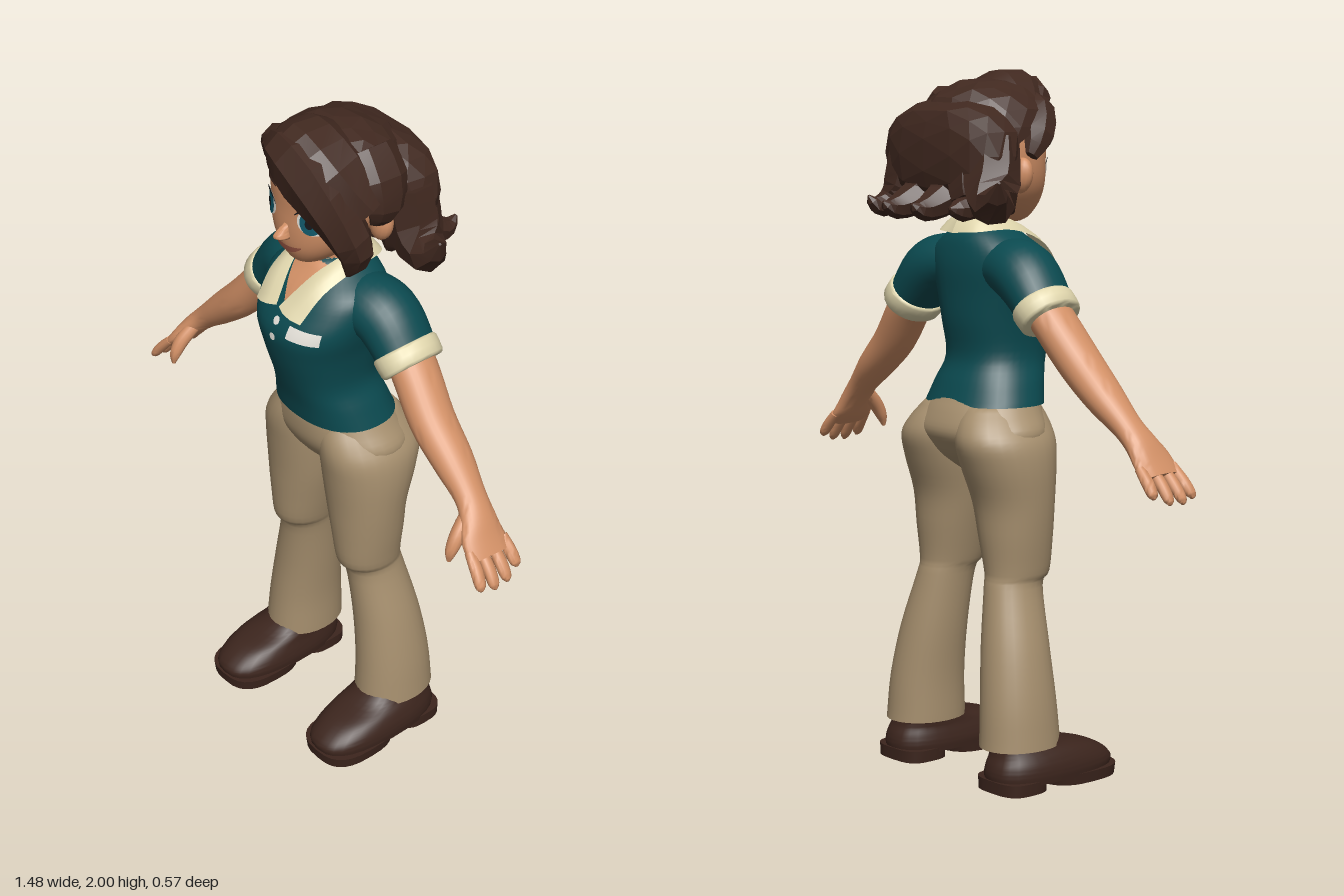
import * as THREE from 'three';
import { toCreasedNormals } from 'three/addons/utils/BufferGeometryUtils.js';

const V3 = (x, y, z) => new THREE.Vector3(x, y, z);
const material = (name, color, side = THREE.FrontSide) => {
  const m = new THREE.MeshStandardMaterial({ color, side });
  m.name = name;
  return m;
};
const UP = V3(0, 1, 0), Z = V3(0, 0, 1), X = V3(1, 0, 0);

export function createModel() {
  const group = new THREE.Group();
  const skin = material('skin', 0xd29066);
  const teal = material('shirt teal', 0x0b4a50);
  const khaki = material('trouser khaki', 0xa68f6e);
  const hair = material('hair brown', 0x412920);
  const leather = material('shoe brown', 0x3c251d);
  const cream = material('trim cream', 0xdfd5ac, THREE.DoubleSide);
  const white = material('white', 0xeae6de);
  const iris = material('iris blue', 0x125c6e);
  const lip = material('lip', 0x9c5845);
  const dark = material('pupil dark', 0x17191c);

  const add = (name, geo, mat) => {
    const mesh = new THREE.Mesh(geo, mat);
    mesh.name = name;
    group.add(mesh);
    return mesh;
  };

  // Lofts superellipse rings along sections [x, y, z, ru, rv]; rv lies along ref
  function sweep(name, mat, sections, { n = 28, steps = 4, p = 2, axis = null, ref = Z, crease = 1 } = {}) {
    const path = new THREE.CatmullRomCurve3(sections.map(s => V3(s[0], s[1], s[2])), false, 'catmullrom');
    const radii = new THREE.CatmullRomCurve3(sections.map(s => V3(s[3], s[4], 0)), false, 'catmullrom');
    const count = (sections.length - 1) * steps, pos = [], idx = [];
    const pw = v => Math.sign(v) * Math.abs(v) ** (2 / p);
    for (let k = 0; k <= count; k++) {
      const t = k / count, c = path.getPoint(t), r = radii.getPoint(t);
      const T = axis || path.getTangent(t);
      const v = ref.clone().addScaledVector(T, -ref.dot(T)).normalize();
      const u = V3().crossVectors(T, v);
      for (let i = 0; i < n; i++) {
        const a = i / n * Math.PI * 2;
        const q = c.clone().addScaledVector(u, pw(Math.cos(a)) * r.x).addScaledVector(v, pw(Math.sin(a)) * r.y);
        pos.push(q.x, q.y, q.z);
      }
    }
    for (let k = 0; k < count; k++) for (let i = 0; i < n; i++) {
      const j = (i + 1) % n, a = k * n + i, b = k * n + j;
      idx.push(a, a + n, b, b, a + n, b + n);
    }
    const first = sections[0], last = sections[sections.length - 1], c0 = pos.length / 3;
    pos.push(...first.slice(0, 3), ...last.slice(0, 3));
    for (let i = 0; i < n; i++) {
      const j = (i + 1) % n;
      idx.push(c0, i, j, c0 + 1, count * n + j, count * n + i);
    }
    const g = new THREE.BufferGeometry();
    g.setAttribute('position', new THREE.Float32BufferAttribute(pos, 3));
    g.setIndex(idx);
    return add(name, toCreasedNormals(g, crease), mat);
  }

  // Lays a flat geometry onto the front of the target meshes
  const caster = new THREE.Raycaster();
  function decal(name, mat, geo, targets, cx, cy, lift = 0.004) {
    const a = geo.attributes.position;
    for (let i = 0; i < a.count; i++) {
      const x = a.getX(i) + cx, y = a.getY(i) + cy;
      caster.set(V3(x, y, 2), V3(0, 0, -1));
      const hit = caster.intersectObjects(targets)[0];
      a.setXYZ(i, x, y, (hit ? hit.point.z : 0.06) + lift);
    }
    geo.computeVertexNormals();
    return add(name, geo, mat);
  }
  const oval = (rx, ry) => new THREE.RingGeometry(0, 1, 24, 3).scale(rx, ry, 1);
  // Curved tapered strip, for brows, lashes and mouth
  function strip(w, h, bend, tilt = 0) {
    const g = new THREE.PlaneGeometry(w, h, 12, 2), a = g.attributes.position;
    for (let i = 0; i < a.count; i++) {
      const f = 2 * a.getX(i) / w;
      a.setY(i, a.getY(i) * (1 - 0.8 * f * f) + bend * f * f + tilt * f);
    }
    return g;
  }

  // Shirt body
  const torso = sweep('shirt', teal, [
    [0, 1.07, 0.02, 0.184, 0.14], [0, 1.13, 0.038, 0.163, 0.135], [0, 1.2, 0.062, 0.138, 0.133],
    [0, 1.3, 0.07, 0.15, 0.155], [0, 1.38, 0.073, 0.172, 0.163], [0, 1.45, 0.052, 0.185, 0.146],
    [0, 1.5, 0.036, 0.175, 0.125], [0, 1.54, 0.022, 0.12, 0.1], [0, 1.57, 0.02, 0.068, 0.075]],
  { axis: UP, p: 2.3, n: 40 });
  const neck = sweep('neck', skin, [[0, 1.48, 0.025, 0.062, 0.065], [0, 1.57, 0.03, 0.058, 0.06], [0, 1.68, 0.04, 0.062, 0.065]], { axis: UP });

  // Open neckline, buttons and blank badge
  const vee = new THREE.PlaneGeometry(1, 0.115, 10, 10), va = vee.attributes.position;
  for (let i = 0; i < va.count; i++) va.setX(i, va.getX(i) * 0.11 * Math.min(1, (va.getY(i) + 0.0575) / 0.09));
  decal('neckOpening', skin, vee, [torso, neck], 0, 1.513, 0.005);
  for (const y of [1.415, 1.37]) decal('button', white, oval(0.011, 0.011), [torso], 0, y, 0.006);
  decal('badge', white, new THREE.PlaneGeometry(0.088, 0.036, 6, 2).rotateZ(-0.06), [torso], 0.093, 1.4, 0.007);

  // Collar halves
  for (const s of [-1, 1]) {
    const curve = pts => new THREE.CatmullRomCurve3(pts.map(q => V3(q[0] * s, q[1], q[2])));
    const inner = curve([[0, 1.605, -0.055], [0.055, 1.6, -0.025], [0.072, 1.59, 0.04], [0.045, 1.545, 0.13], [0.005, 1.46, 0.222]]);
    const outer = curve([[0, 1.55, -0.1], [0.08, 1.555, -0.078], [0.112, 1.558, 0.03], [0.106, 1.515, 0.15], [0.092, 1.442, 0.22]]);
    const g = new THREE.PlaneGeometry(1, 1, 20, 3), a = g.attributes.position;
    for (let i = 0; i < a.count; i++) {
      const t = a.getX(i) + 0.5, w = a.getY(i) + 0.5;
      const q = inner.getPoint(t).lerp(outer.getPoint(t), w);
      a.setXYZ(i, q.x, q.y + 0.012 * (1 - t) * Math.sin(w * Math.PI), q.z + 0.012 * t * Math.sin(w * Math.PI));
    }
    g.computeVertexNormals();
    add('collar', g, cream);
  }

  // Trousers: hips join the two legs
  sweep('hips', khaki, [
    [0, 0.87, 0, 0.05, 0.04], [0, 0.92, 0, 0.14, 0.105], [0, 0.96, 0, 0.21, 0.135], [0, 1.0, 0, 0.228, 0.151],
    [0, 1.05, 0.01, 0.195, 0.145], [0, 1.09, 0.02, 0.168, 0.132]], { axis: UP, p: 2.1, n: 36 });
  for (const s of [-1, 1]) {
    const m = rows => rows.map(([x, ...r]) => [x * s, ...r]);
    sweep('trouserLeg', khaki, m([
      [0.208, 0.12, -0.028, 0.1, 0.122], [0.2, 0.25, -0.028, 0.095, 0.113], [0.178, 0.4, -0.02, 0.088, 0.1],
      [0.147, 0.56, 0.0, 0.073, 0.088], [0.143, 0.6, 0.017, 0.08, 0.098], [0.137, 0.7, 0.017, 0.099, 0.107],
      [0.13, 0.8, 0.015, 0.115, 0.115], [0.124, 0.9, 0.002, 0.125, 0.138], [0.118, 0.97, -0.005, 0.121, 0.153],
      [0.104, 1.02, 0, 0.104, 0.145], [0.085, 1.07, 0.01, 0.082, 0.12]]), { axis: UP, p: 2.1 });

    // Shoes with separate heel and sole
    sweep('shoe', leather, m([
      [0.222, 0.025, 0.067, 0.1, 0.208], [0.222, 0.05, 0.067, 0.102, 0.21], [0.222, 0.075, 0.058, 0.098, 0.195],
      [0.22, 0.1, 0.04, 0.09, 0.165], [0.214, 0.125, 0.0, 0.082, 0.118], [0.21, 0.16, -0.02, 0.075, 0.09]]), { axis: UP, p: 2.6 });
    sweep('heel', leather, m([[0.222, 0, -0.068, 0.092, 0.077], [0.222, 0.035, -0.068, 0.094, 0.078]]), { axis: UP, p: 3.2, steps: 1 });
    sweep('sole', leather, m([[0.222, 0, 0.155, 0.1, 0.123], [0.222, 0.032, 0.152, 0.104, 0.13]]), { axis: UP, p: 2.8, steps: 1 });

    // Sleeves and cuffs
    sweep('sleeve', teal, m([
      [0.08, 1.455, 0.02, 0.075, 0.09], [0.15, 1.452, 0.012, 0.085, 0.098], [0.208, 1.425, 0.003, 0.086, 0.097],
      [0.28, 1.348, 0, 0.07, 0.09]]));
    sweep('sleeveCuff', cream, m([
      [0.262, 1.367, 0, 0.074, 0.092], [0.268, 1.361, 0, 0.081, 0.098], [0.298, 1.331, 0, 0.079, 0.096],
      [0.304, 1.325, 0, 0.068, 0.088]]), { steps: 2 });

    // Arm, palm, fingers, thumb
    sweep('arm', skin, m([
      [0.24, 1.39, 0, 0.055, 0.07], [0.31, 1.318, 0.003, 0.056, 0.07], [0.4, 1.212, 0.018, 0.056, 0.067],
      [0.49, 1.13, 0.022, 0.049, 0.06], [0.57, 1.06, 0.03, 0.036, 0.047], [0.615, 1.015, 0.04, 0.031, 0.055],
      [0.65, 0.97, 0.05, 0.025, 0.07], [0.682, 0.935, 0.052, 0.017, 0.068]]));
    [[-0.008, -0.012, 0.8], [0.033, 0.034, 1], [0.073, 0.08, 1.03], [0.108, 0.122, 0.92]].forEach(([z0, z1, l]) =>
      sweep('finger', skin, m([
        [0.66, 0.96, z0, 0.013, 0.016], [0.66 + 0.04 * l, 0.96 - 0.043 * l, (z0 + z1) / 2, 0.015, 0.019],
        [0.66 + 0.066 * l, 0.96 - 0.078 * l, z1, 0.012, 0.016], [0.66 + 0.073 * l, 0.96 - 0.092 * l, z1, 0.004, 0.005]]), { n: 12 }));
    sweep('thumb', skin, m([
      [0.595, 1.03, 0.06, 0.02, 0.02], [0.607, 0.985, 0.105, 0.021, 0.022], [0.61, 0.945, 0.13, 0.016, 0.017],
      [0.61, 0.915, 0.138, 0.005, 0.006]]), { n: 12, ref: X });

    // Ears
    add('ear', new THREE.SphereGeometry(1, 16, 12).scale(0.036, 0.05, 0.028).rotateZ(-0.25 * s).translate(0.172 * s, 1.712, 0.005), skin);
  }

  // Head
  const head = sweep('head', skin, [
    [0, 1.575, 0.11, 0.028, 0.035], [0, 1.59, 0.1, 0.06, 0.066], [0, 1.63, 0.077, 0.106, 0.108],
    [0, 1.68, 0.062, 0.138, 0.128], [0, 1.74, 0.05, 0.152, 0.138], [0, 1.82, 0.045, 0.15, 0.14],
    [0, 1.9, 0.04, 0.12, 0.11], [0, 1.95, 0.04, 0.05, 0.05]], { axis: UP, p: 2.15, n: 40 });
  sweep('nose', skin, [
    [0, 1.66, 0.18, 0.012, 0.014], [0, 1.67, 0.2, 0.019, 0.026], [0, 1.682, 0.2, 0.015, 0.026],
    [0, 1.705, 0.18, 0.008, 0.012]], { axis: UP, n: 16 });
  decal('mouth', lip, strip(0.108, 0.02, 0.016), [head], 0.003, 1.634, 0.008);
  for (const s of [-1, 1]) {
    decal('eyeWhite', white, oval(0.042, 0.036), [head], 0.085 * s, 1.733, 0.003);
    decal('iris', iris, oval(0.028, 0.034), [head], 0.081 * s, 1.732, 0.005);
    decal('pupil', dark, oval(0.011, 0.015), [head], 0.081 * s, 1.732, 0.007);
    decal('eyelash', dark, strip(0.094, 0.012, -0.026, -0.004 * s), [head], 0.085 * s, 1.77, 0.007);
    decal('eyebrow', hair, strip(0.085, 0.016, -0.012, -0.004 * s), [head], 0.08 * s, 1.808, 0.006);
  }

  // Faceted hair volumes, with the face left open
  function hairVolume(name, c, r, box, detail, open) {
    const g = new THREE.IcosahedronGeometry(1, detail), a = g.attributes.position;
    for (let i = 0; i < a.count; i++) {
      const d = V3().fromBufferAttribute(a, i);
      const k = 1 + 0.04 * Math.sin(9 * d.x + 4 * d.z) * Math.cos(7 * d.y - 5 * d.x);
      const f = v => Math.sign(v) * Math.abs(v) ** box * k;
      const x = c[0] + f(d.x) * r[0], y = c[1] + f(d.y) * r[1];
      let z = c[2] + f(d.z) * r[2];
      if (open && y < 1.87) z = Math.min(z, y < 1.8 ? -0.035 : 0.07);
      a.setXYZ(i, x, y, z);
    }
    g.computeVertexNormals();
    add(name, g, hair);
  }
  hairVolume('hairCap', [0.015, 1.79, 0.035], [0.205, 0.185, 0.2], 0.92, 3, true);
  hairVolume('hairBack', [0, 1.768, -0.1], [0.238, 0.148, 0.105], 0.76, 2, false);

  // Hair locks: [x, y, z, ru, rv]
  const lock = (name, rows, ref = Z) => sweep(name, hair, rows, { n: 7, steps: 2, crease: 0.25, ref });
  lock('sweptFringe', [
    [-0.085, 1.905, 0.14, 0.02, 0.03], [-0.01, 1.92, 0.18, 0.065, 0.06], [0.09, 1.878, 0.19, 0.088, 0.068],
    [0.172, 1.775, 0.15, 0.062, 0.066], [0.193, 1.68, 0.115, 0.054, 0.052], [0.172, 1.6, 0.11, 0.01, 0.02]]);
  lock('fringeCrown', [
    [-0.1, 1.9, 0.08, 0.03, 0.05], [-0.02, 1.955, 0.12, 0.035, 0.08], [0.05, 1.957, 0.13, 0.042, 0.09],
    [0.14, 1.9, 0.12, 0.05, 0.09], [0.21, 1.8, 0.07, 0.03, 0.05]]);
  lock('leftSideLock', [
    [0.14, 1.93, 0.02, 0.04, 0.07], [0.19, 1.86, 0.02, 0.04, 0.08], [0.205, 1.78, 0.025, 0.033, 0.065],
    [0.195, 1.735, 0.04, 0.01, 0.03]]);
  lock('rightFringe', [
    [-0.05, 1.925, 0.13, 0.02, 0.04], [-0.115, 1.885, 0.115, 0.042, 0.05], [-0.165, 1.82, 0.07, 0.035, 0.05],
    [-0.185, 1.765, 0.03, 0.01, 0.02]]);
  lock('rightFlip', [
    [-0.15, 1.8, -0.09, 0.08, 0.08], [-0.19, 1.68, -0.12, 0.08, 0.08], [-0.255, 1.64, -0.165, 0.054, 0.056],
    [-0.325, 1.705, -0.21, 0.004, 0.004]]);
  lock('leftFlip', [
    [0.17, 1.8, -0.08, 0.08, 0.07], [0.195, 1.68, -0.085, 0.08, 0.07], [0.275, 1.64, -0.07, 0.056, 0.056],
    [0.345, 1.71, -0.045, 0.004, 0.004]]);
  for (const [x, y, z] of [[-0.14, 1.63, -0.23], [-0.05, 1.64, -0.285], [0.07, 1.64, -0.285], [0.18, 1.65, -0.245]])
    lock('backSpike', [
      [x * 0.8, 1.76, -0.13, 0.06, 0.07], [x * 0.9, 1.67, -0.145, 0.055, 0.065], [x, 1.63, z + 0.07, 0.04, 0.045],
      [x * 1.03, 1.625, z + 0.025, 0.026, 0.03], [x * 1.05, y, z, 0.004, 0.004]], X);
  for (const s of [-1, 1])
    lock('napeLock', [
      [0.13 * s, 1.75, -0.07, 0.06, 0.05], [0.14 * s, 1.65, -0.075, 0.058, 0.055], [0.125 * s, 1.585, -0.07, 0.015, 0.02]]);
  return group;
}
